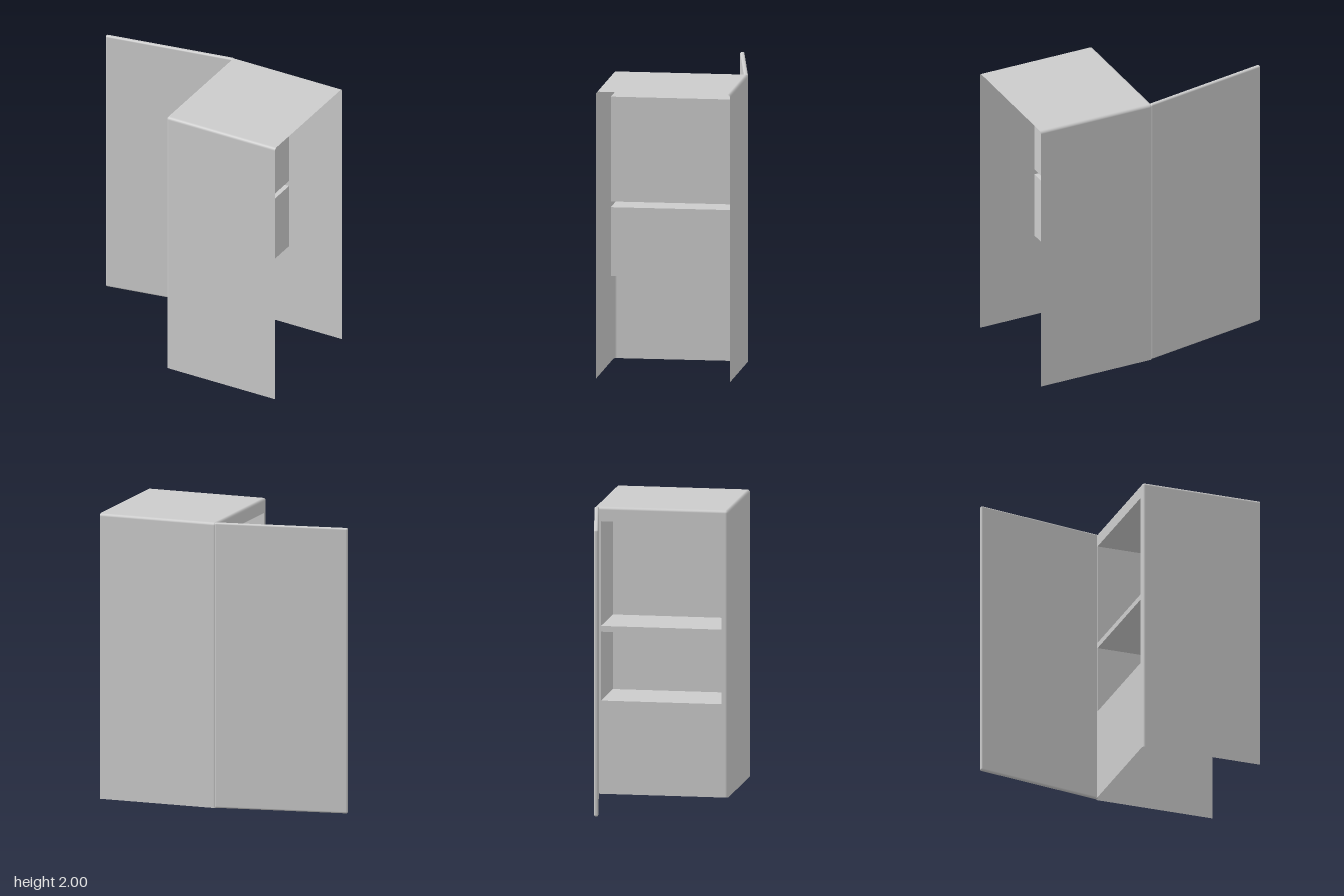
import * as THREE from 'three';
import { RoundedBoxGeometry } from 'three/addons/geometries/RoundedBoxGeometry.js';

const LEFT = 0.025, RIGHT = 0.885, HALF = 0.466, TOP = 2, R = 0.02, STEPS = 4;
const POCKET_BACK = 0.49, POCKET_HALF = 0.42;
const POCKETS = [['upperCompartment', 1.17, 1.9], ['lowerCompartment', 0.65, 1.13]];

// Arch of front, top and back walls, lofted along x and rounded in at the closed side
function shellGeometry() {
  const angles = Array.from({ length: STEPS + 1 }, (_, i) => (i / STEPS) * Math.PI / 2);
  const rings = [{ x: RIGHT, a: 0 }, ...angles.map(a => ({ x: LEFT + R * (1 - Math.sin(a)), a }))];
  const cy = TOP - R, cz = HALF - R;
  const path = [{ y: 0, z: cz, a: 0 }];
  angles.forEach(a => path.push({ y: cy, z: cz, a }));
  angles.forEach(a => path.push({ y: cy, z: -cz, a: a + Math.PI / 2 }));
  path.push({ y: 0, z: -cz, a: Math.PI });

  const pos = [], nor = [], idx = [], n = path.length;
  rings.forEach(({ x, a }, j) => path.forEach((p, i) => {
    const c = Math.cos(a), ny = Math.sin(p.a), nz = Math.cos(p.a);
    pos.push(x, p.y + R * c * ny, p.z + R * c * nz);
    nor.push(-Math.sin(a), c * ny, c * nz);
    if (j && i) {
      const q = j * n + i, o = q - n;
      idx.push(o - 1, o, q - 1, o, q, q - 1);
    }
  }));
  const g = new THREE.BufferGeometry();
  g.setAttribute('position', new THREE.Float32BufferAttribute(pos, 3));
  g.setAttribute('normal', new THREE.Float32BufferAttribute(nor, 3));
  g.setIndex(idx);
  return g;
}

function rectangle(target, z, y0, y1) {
  target.moveTo(-z, y0).lineTo(z, y0).lineTo(z, y1).lineTo(-z, y1).closePath();
  return target;
}

// Closed side with the two compartment openings
function panelGeometry() {
  const shape = rectangle(new THREE.Shape(), HALF - R, 0, TOP - R);
  for (const [, y0, y1] of POCKETS) shape.holes.push(rectangle(new THREE.Path(), POCKET_HALF, y0, y1));
  return new THREE.ShapeGeometry(shape).rotateY(-Math.PI / 2).translate(LEFT, 0, 0);
}

// Thin box without its -x face
function pocketGeometry(y0, y1) {
  const g = new THREE.BoxGeometry(POCKET_BACK - LEFT, y1 - y0, 2 * POCKET_HALF);
  g.setIndex(Array.from(g.index.array).filter((_, i) => i < 6 || i >= 12));
  g.clearGroups();
  return g.translate((LEFT + POCKET_BACK) / 2, (y0 + y1) / 2, 0);
}

export function createModel() {
  const group = new THREE.Group();
  group.name = 'cabinet';
  const sheet = new THREE.MeshStandardMaterial({ color: 0xcccccc, side: THREE.DoubleSide });
  const solid = new THREE.MeshStandardMaterial({ color: 0xcccccc });
  const add = (name, geometry, material = sheet) => {
    const mesh = new THREE.Mesh(geometry, material);
    mesh.name = name;
    group.add(mesh);
    return mesh;
  };

  add('outerShell', shellGeometry());
  add('openingPanel', panelGeometry());
  for (const [name, y0, y1] of POCKETS) add(name, pocketGeometry(y0, y1));

  // Door swung open about the rear vertical edge
  const door = add('door', new RoundedBoxGeometry(0.935, 2, 0.03, 3, 0.012), solid);
  door.position.set(-0.422, 1, -0.372);
  door.rotation.y = 0.172;

  return group;
}
